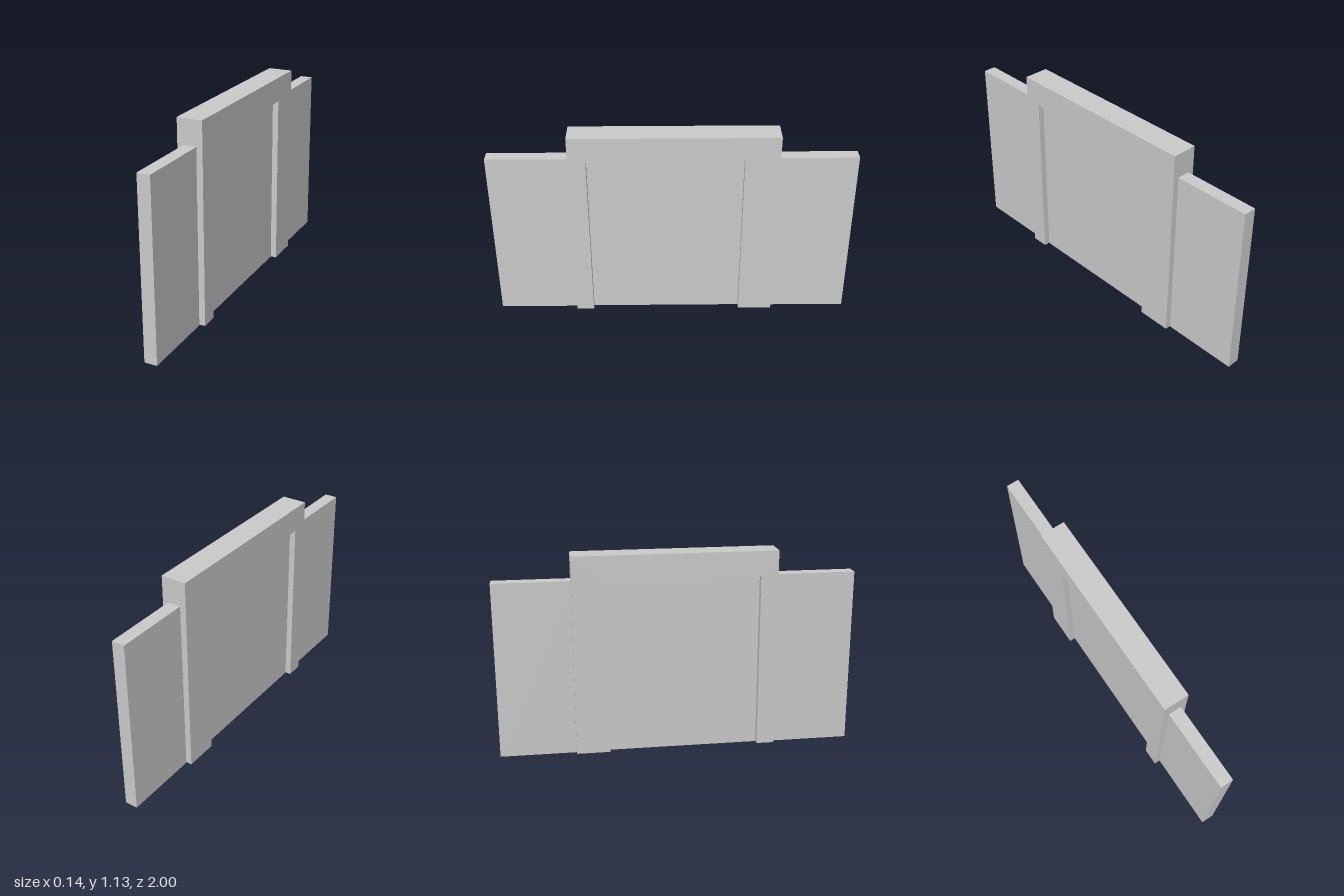
import * as THREE from 'three';

const material = new THREE.MeshStandardMaterial({ color: 0xcccccc, flatShading: true, side: THREE.DoubleSide });

// Upright slab between two z positions
function slab(name, z0, z1, y0, y1, thickness) {
  const mesh = new THREE.Mesh(new THREE.BoxGeometry(thickness, y1 - y0, z1 - z0), material);
  mesh.position.set(0, (y0 + y1) / 2, (z0 + z1) / 2);
  mesh.name = name;
  return mesh;
}

// Hollow frame: an inverted U whose legs are open underneath
function doorFrame(bottom, thickness) {
  const outline = [
    [-0.575, bottom], [-0.575, 1.135], [0.557, 1.135], [0.557, bottom],
    [0.46, bottom], [0.46, 0.995], [-0.385, 0.995], [-0.385, bottom],
  ].map(([z, y]) => new THREE.Vector2(z, y));
  const solid = new THREE.ExtrudeGeometry(new THREE.Shape(outline), { depth: thickness, bevelEnabled: false });
  solid.translate(0, 0, -thickness / 2).rotateY(-Math.PI / 2);

  // Leave out the undersides of the legs
  const p = solid.toNonIndexed().getAttribute('position');
  const kept = [];
  for (let i = 0; i < p.count; i += 3) {
    const corners = [i, i + 1, i + 2];
    if (corners.every((k) => p.getY(k) < bottom + 0.001)) continue;
    corners.forEach((k) => kept.push(p.getX(k), p.getY(k), p.getZ(k)));
  }
  const geometry = new THREE.BufferGeometry();
  geometry.setAttribute('position', new THREE.Float32BufferAttribute(kept, 3));
  geometry.computeVertexNormals();
  const mesh = new THREE.Mesh(geometry, material);
  mesh.name = 'doorFrame';
  return mesh;
}

export function createModel() {
  const group = new THREE.Group();
  group.name = 'framedDoorWall';
  group.add(doorFrame(0.005, 0.141));

  // Door leaf inside the frame and a wall panel on each side
  group.add(slab('doorLeaf', -0.385, 0.46, 0.003, 0.995, 0.072));
  group.add(slab('frontWallPanel', 0.557, 1, 0, 0.995, 0.072));
  group.add(slab('backWallPanel', -1, -0.575, 0, 0.995, 0.072));
  return group;
}
